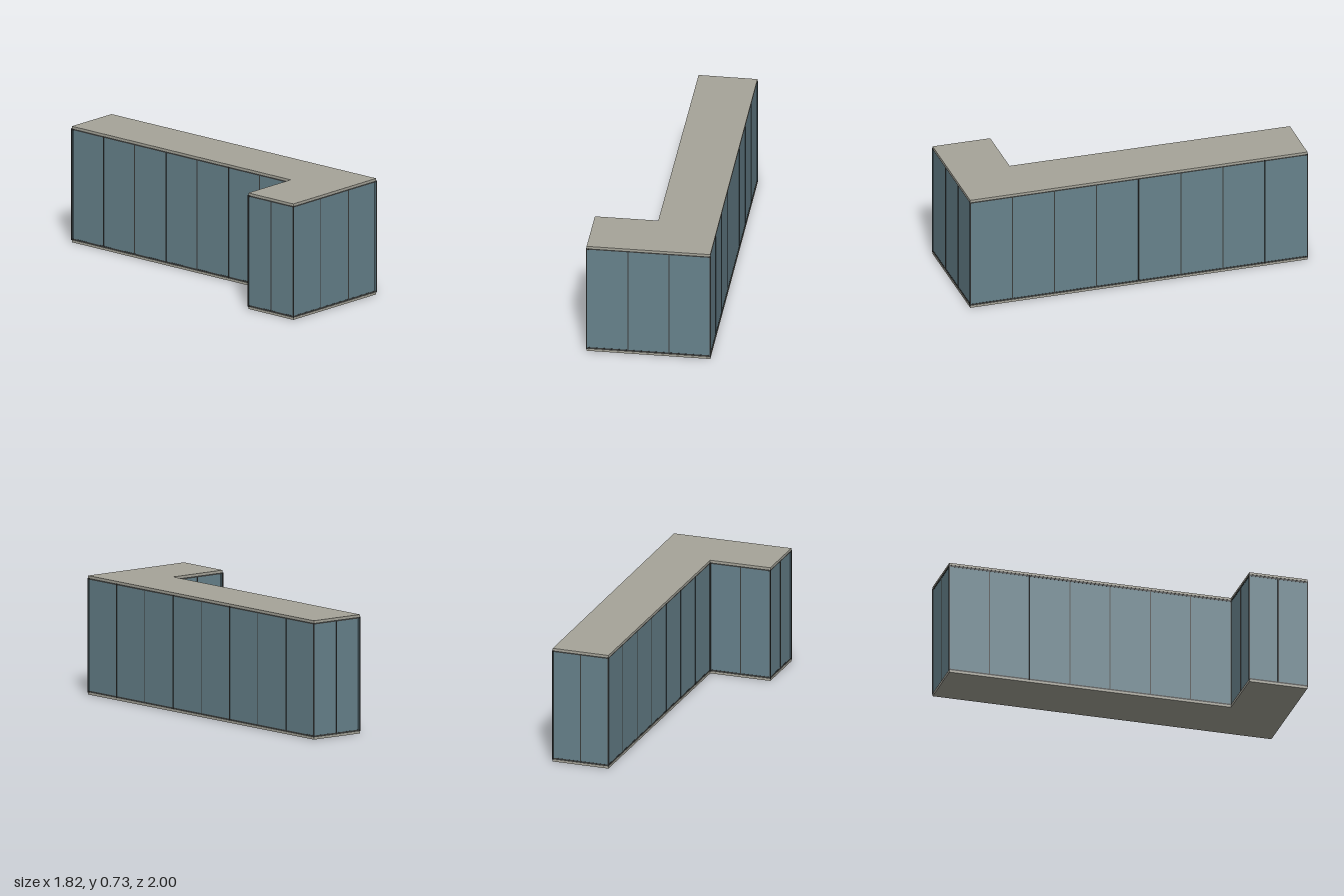
import * as THREE from 'three';

// L-shaped footprint as [x, z], with the number of panels on the wall that starts there
const corners = [
  [-0.66, -0.996, 8], [0.904, 0.444, 3], [0.396, 0.996, 2],
  [0.13, 0.749, 2], [0.39, 0.466, 7], [-0.904, -0.735, 2],
];
const HEIGHT = 0.725, SLAB = 0.014, RAIL = 0.01;

const stone = new THREE.MeshStandardMaterial({ color: 0xa6a499 });
const glass = new THREE.MeshStandardMaterial({ color: 0x67828c });
const metal = new THREE.MeshStandardMaterial({ color: 0x3a3d3c });

function box(parent, name, material, w, h, d, x, y, z) {
  const mesh = new THREE.Mesh(new THREE.BoxGeometry(w, h, d), material);
  mesh.name = name;
  mesh.position.set(x, y, z);
  parent.add(mesh);
}

function slab(parent, name, y) {
  const shape = new THREE.Shape(corners.map(([x, z]) => new THREE.Vector2(x, -z)));
  const geometry = new THREE.ExtrudeGeometry(shape, { depth: SLAB, bevelEnabled: false });
  geometry.rotateX(-Math.PI / 2);
  const mesh = new THREE.Mesh(geometry, stone);
  mesh.name = name;
  mesh.position.y = y;
  parent.add(mesh);
}

// One wall: local x runs along it, local z points into the building
function wall(start, end) {
  const group = new THREE.Group();
  group.name = 'wall';
  const dx = end[0] - start[0], dz = end[1] - start[1];
  const length = Math.hypot(dx, dz), count = start[2], step = length / count;
  group.position.set(start[0], 0, start[1]);
  group.rotation.y = -Math.atan2(dz, dx);

  const wallHeight = HEIGHT - 2 * SLAB, mid = HEIGHT / 2;
  for (let i = 0; i < count; i++) {
    box(group, 'glassPanel', glass, step, wallHeight - 2 * RAIL, 0.008, (i + 0.5) * step, mid, 0.007);
    if (i > 0) box(group, 'mullion', metal, 0.006, wallHeight, 0.008, i * step, mid, 0.005);
  }
  box(group, 'cornerPost', metal, 0.007, wallHeight, 0.007, 0, mid, 0);
  box(group, 'bottomRail', metal, length, RAIL, 0.008, length / 2, SLAB + RAIL / 2, 0.006);
  box(group, 'topRail', metal, length, RAIL, 0.008, length / 2, HEIGHT - SLAB - RAIL / 2, 0.006);
  return group;
}

export function createModel() {
  const model = new THREE.Group();
  model.name = 'building';
  slab(model, 'floorSlab', 0);
  slab(model, 'roofSlab', HEIGHT - SLAB);
  corners.forEach((c, i) => model.add(wall(c, corners[(i + 1) % corners.length])));
  return model;
}
